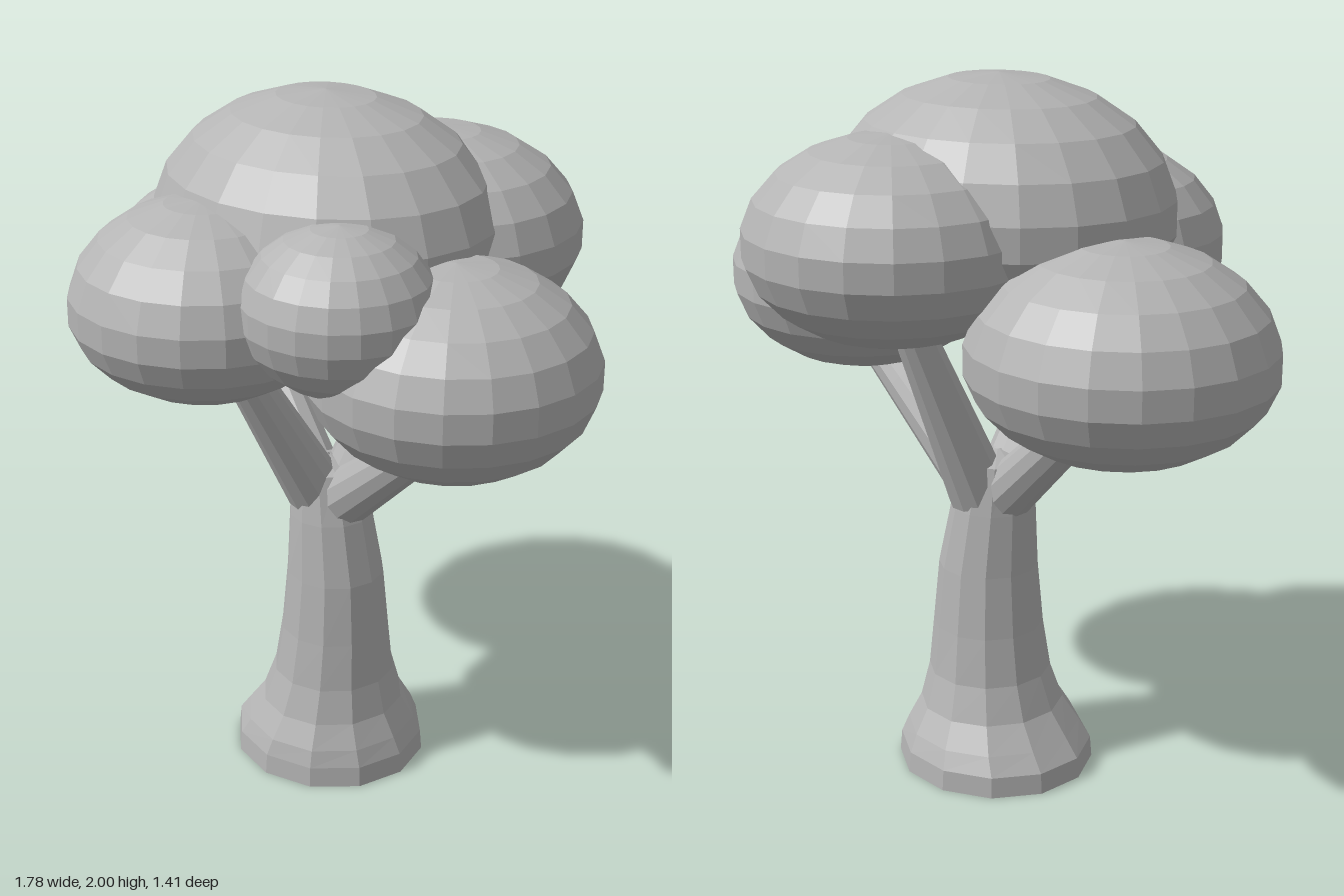
import * as THREE from 'three';

const grey = new THREE.MeshStandardMaterial({ color: 0xb4b4b4, flatShading: true, side: THREE.DoubleSide });
grey.name = 'clay grey';

function add(group, name, geometry) {
  const mesh = new THREE.Mesh(geometry, grey);
  mesh.name = name;
  group.add(mesh);
  return mesh;
}

// Trunk rings from foot to fork: height, centre x, centre z, radius x, radius z
const rings = [
  [0, 0, -0.04, 0.285, 0.275],
  [0.06, 0, -0.04, 0.28, 0.27],
  [0.11, 0.01, -0.035, 0.25, 0.25],
  [0.18, 0.02, -0.03, 0.205, 0.21],
  [0.28, 0.028, -0.028, 0.175, 0.178],
  [0.42, 0.033, -0.028, 0.158, 0.158],
  [0.6, 0.033, -0.027, 0.142, 0.14],
  [0.78, 0.017, -0.025, 0.12, 0.12],
  [0.92, 0.002, -0.025, 0.095, 0.1],
  [0.95, 0.002, -0.025, 0.01, 0.01],
];

// Hollow, flared trunk: rows of an open cylinder moved onto the rings
function trunkGeometry() {
  const sides = 12, last = rings.length - 1;
  const geometry = new THREE.CylinderGeometry(1, 1, last, sides, last, true);
  const p = geometry.attributes.position;
  for (let i = 0; i < p.count; i++) {
    const [y, cx, cz, rx, rz] = rings[Math.round(p.getY(i) + last / 2)];
    p.setXYZ(i, cx + p.getX(i) * rx, y, cz + p.getZ(i) * rz);
  }
  geometry.computeVertexNormals();
  return geometry;
}

// Tapered branch between two points
function addBranch(group, name, from, to, r0, r1) {
  const a = new THREE.Vector3(...from), b = new THREE.Vector3(...to);
  const dir = b.clone().sub(a);
  const mesh = add(group, name, new THREE.CylinderGeometry(r1, r0, dir.length(), 12, 3));
  mesh.position.copy(a).add(b).multiplyScalar(0.5);
  mesh.quaternion.setFromUnitVectors(new THREE.Vector3(0, 1, 0), dir.normalize());
}

// Foliage puff: a sphere with its own upper and lower heights
function addPuff(group, name, [x, y, z], [rx, rz], up, down) {
  const geometry = new THREE.SphereGeometry(1, 20, 11);
  const p = geometry.attributes.position;
  for (let i = 0; i < p.count; i++) {
    const h = p.getY(i);
    p.setXYZ(i, p.getX(i) * rx, h * (h > 0 ? up : down), p.getZ(i) * rz);
  }
  geometry.computeVertexNormals();
  add(group, name, geometry).position.set(x, y, z);
}

export function createModel() {
  const tree = new THREE.Group();
  tree.name = 'tree';
  add(tree, 'trunk', trunkGeometry());

  const branches = new THREE.Group();
  branches.name = 'branches';
  addBranch(branches, 'frontBranch', [-0.01, 0.85, 0.01], [-0.06, 1.36, 0.3], 0.085, 0.05);
  addBranch(branches, 'leftBranch', [0.05, 0.82, -0.03], [0.5, 1.2, 0.04], 0.085, 0.05);
  addBranch(branches, 'rightBranch', [-0.04, 0.83, -0.04], [-0.42, 1.2, -0.17], 0.08, 0.055);
  addBranch(branches, 'backBranch', [0.04, 0.82, -0.06], [0.13, 1.42, -0.3], 0.09, 0.05);

  const foliage = new THREE.Group();
  foliage.name = 'foliage';
  addPuff(foliage, 'crownPuff', [0, 1.63, -0.02], [0.5, 0.435], 0.37, 0.28);
  addPuff(foliage, 'rightPuff', [-0.48, 1.33, -0.18], [0.415, 0.405], 0.31, 0.27);
  addPuff(foliage, 'leftPuff', [0.51, 1.38, 0.05], [0.385, 0.385], 0.285, 0.275);
  addPuff(foliage, 'backPuff', [0.14, 1.58, -0.315], [0.405, 0.395], 0.29, 0.27);
  addPuff(foliage, 'frontPuff', [-0.09, 1.48, 0.345], [0.365, 0.36], 0.29, 0.24);
  addPuff(foliage, 'smallPuff', [0.33, 1.56, 0.285], [0.26, 0.255], 0.22, 0.22);

  tree.add(branches, foliage);
  return tree;
}
